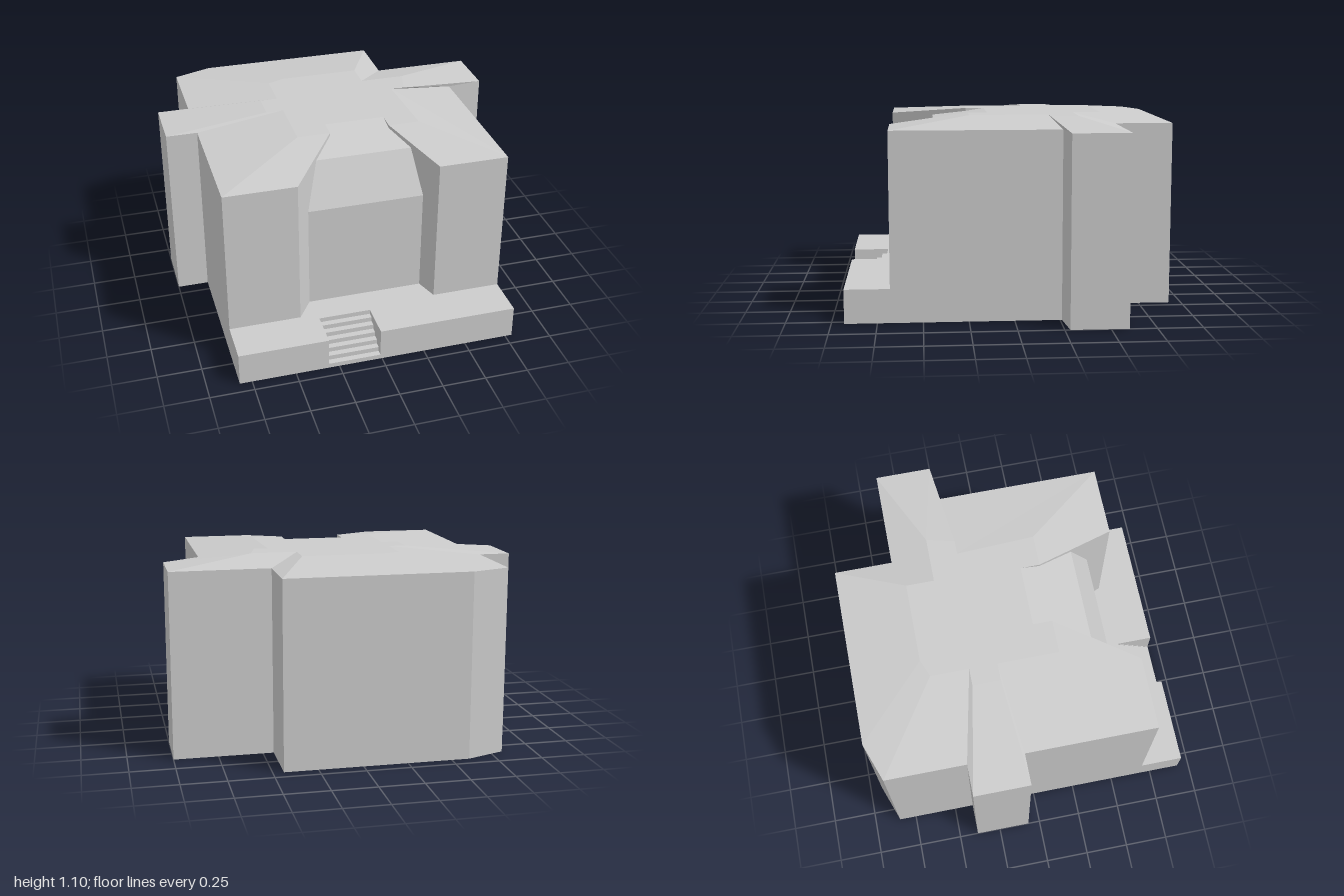
import * as THREE from 'three';

const EAVE = 1.05, RIDGE = 1.1, PORCH = 0.19;
const material = new THREE.MeshStandardMaterial({ color: 0xcccccc, flatShading: true, side: THREE.DoubleSide });

// Plan corners clockwise from above: [x, z] at the eaves, then [x, z] at the flat roof top.
const plan = [
  [-0.82, 0.68, -0.3, 0.23],
  [-0.82, -0.07, -0.3, -0.12],
  [-1, -0.07, -0.4, -0.12],
  [-1, -0.39, -0.4, -0.28],
  [-0.82, -0.39, -0.3, -0.28],
  [-0.82, -0.85, -0.3, -0.5],
  [-0.6, -0.93, -0.2, -0.54],
  [0.44, -0.93, 0.26, -0.54],
  [0.44, -0.6, 0.26, -0.38],
  [1, -0.6, 0.52, -0.38],
  [1, -0.28, 0.48, -0.22],
  [0.79, -0.26, 0.4, -0.22],
  [0.79, 0.68, 0.42, 0.23],
  [0.39, 0.68, 0.24, 0.23],
  [0.24, 0.23, 0.24, 0.23], // entrance notch
  [0.24, 0.12, 0.24, 0.12],
  [-0.11, 0.12, -0.11, 0.12],
  [-0.11, 0.23, -0.11, 0.23],
  [-0.41, 0.68, -0.11, 0.23],
];

// Mesh from quads of four [x, y, z] corners, leaving out collapsed triangles
function quadMesh(name, quads) {
  const positions = [];
  for (const [a, b, c, d] of quads) {
    for (const tri of [[a, b, c], [a, c, d]]) {
      const t = new THREE.Triangle(...tri.map((p) => new THREE.Vector3(...p)));
      if (t.getArea() > 1e-6) positions.push(...tri.flat());
    }
  }
  const geometry = new THREE.BufferGeometry();
  geometry.setAttribute('position', new THREE.Float32BufferAttribute(positions, 3));
  geometry.computeVertexNormals();
  return named(name, geometry);
}

function named(name, geometry) {
  const mesh = new THREE.Mesh(geometry, material);
  mesh.name = name;
  return mesh;
}

// Plan shape from [x, z] points; lies level after a quarter turn about x
const planShape = (points) => new THREE.Shape(points.map(([x, z]) => new THREE.Vector2(x, -z)));

export function createModel() {
  const group = new THREE.Group();

  // Walls and sloping roof follow the plan round
  const walls = [], slopes = [];
  plan.forEach((a, i) => {
    const b = plan[(i + 1) % plan.length];
    const eave = (p) => [p[0], p[0] === p[2] && p[1] === p[3] ? RIDGE : EAVE, p[1]];
    const foot = (p) => [p[0], 0, p[1]];
    const top = (p) => [p[2], RIDGE, p[3]];
    walls.push([foot(b), foot(a), eave(a), eave(b)]);
    slopes.push([eave(b), eave(a), top(a), top(b)]);
  });
  group.add(quadMesh('walls', walls), quadMesh('roofSlopes', slopes));

  // Flat roof top
  const flat = new THREE.ShapeGeometry(planShape(plan.map((p) => [p[2], p[3]])));
  flat.rotateX(-Math.PI / 2).translate(0, RIDGE, 0);
  group.add(named('roofTop', flat));

  // Underside of the building
  const floor = new THREE.ShapeGeometry(planShape(plan.slice(0, 13)));
  floor.rotateX(Math.PI / 2).scale(1, 1, -1);
  const index = floor.index.array; // mirrored, so reverse the corners
  for (let i = 0; i < index.length; i += 3) [index[i], index[i + 1]] = [index[i + 1], index[i]];
  floor.computeVertexNormals();
  group.add(named('floor', floor));

  // Recessed entrance: wall, steep canopy and gentle roof between the notch sides
  const profile = [[0.55, 0], [0.55, 0.8], [0.43, EAVE], [0.23, 1.082], [0.12, RIDGE]];
  const left = (z) => Math.min(-0.11, -0.41 + (0.68 - z) * 0.667);
  const right = (z) => Math.max(0.24, 0.39 - (0.68 - z) * 0.333);
  const entrance = profile.slice(1).map(([z1, y1], i) => {
    const [z0, y0] = profile[i];
    return [[left(z0), y0, z0], [right(z0), y0, z0], [right(z1), y1, z1], [left(z1), y1, z1]];
  });
  group.add(quadMesh('entrance', entrance));

  // Porch slab with a gap for the stairs
  const porch = new THREE.ExtrudeGeometry(planShape([
    [-0.82, 0.5], [0.79, 0.5], [0.79, 0.93], [-0.01, 0.93],
    [-0.01, 0.72], [-0.31, 0.72], [-0.31, 0.93], [-0.82, 0.93],
  ]), { depth: PORCH, bevelEnabled: false });
  porch.rotateX(-Math.PI / 2);
  group.add(named('porch', porch));

  // Stairs
  const stairs = new THREE.Group();
  stairs.name = 'stairs';
  const steps = 6, tread = 0.21 / steps, riser = PORCH / (steps + 1);
  for (let i = 0; i < steps; i++) {
    const height = PORCH - riser * (i + 1);
    const step = named('step', new THREE.BoxGeometry(0.3, height, tread));
    step.position.set(-0.16, height / 2, 0.72 + tread * (i + 0.5));
    stairs.add(step);
  }
  group.add(stairs);
  return group;
}
